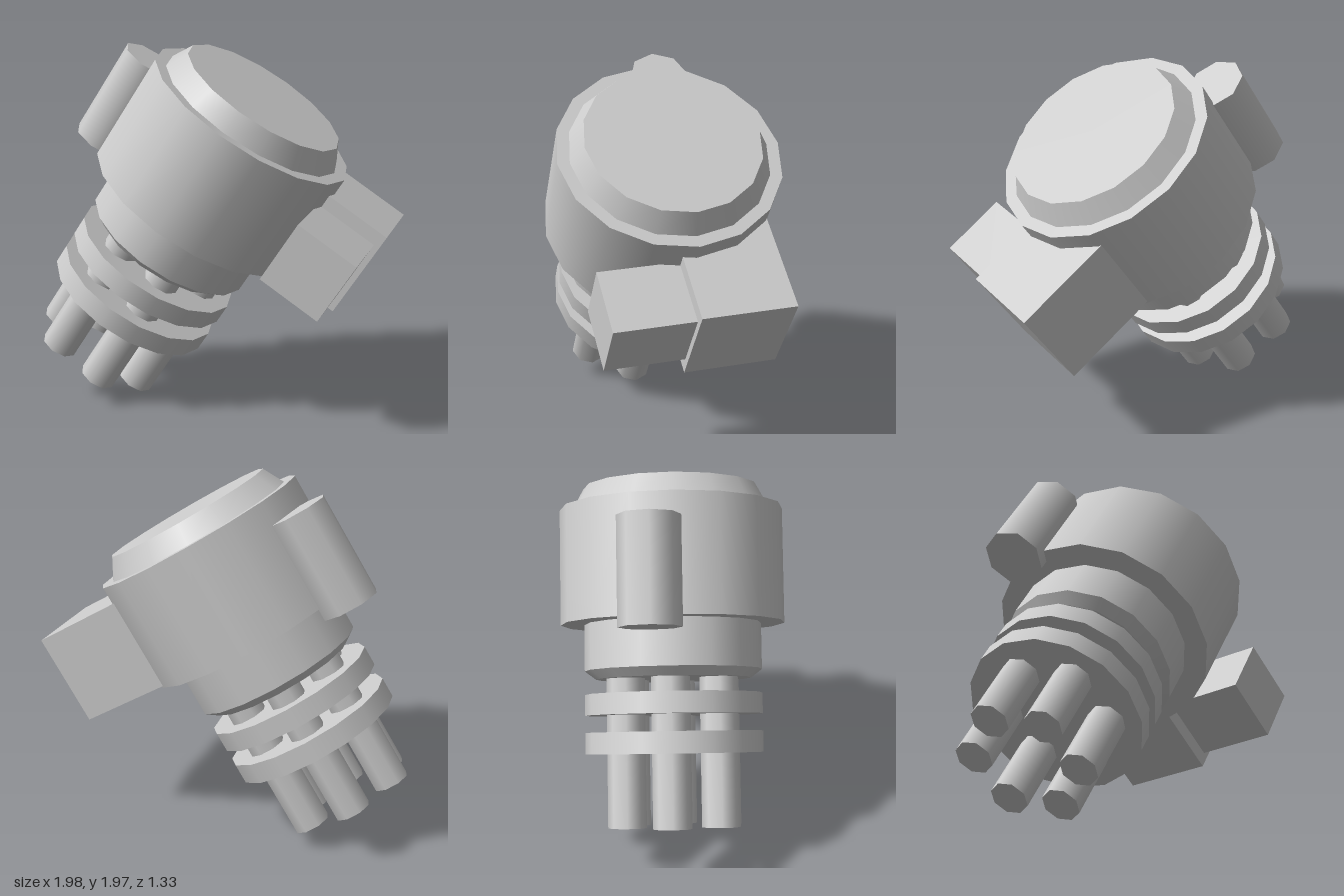
import * as THREE from 'three';

const material = new THREE.MeshStandardMaterial({ color: 0xcccccc });

export function createModel() {
  const model = new THREE.Group();
  model.name = 'rotaryGun';

  // Everything hangs below the centre of the end cap, along the local -y axis
  const body = new THREE.Group();
  body.name = 'tiltedBody';
  body.rotation.set(0, THREE.MathUtils.degToRad(18.4), THREE.MathUtils.degToRad(-33), 'YXZ');
  body.position.set(0.26, 1.715, -0.05);
  model.add(body);

  const add = (name, geometry, x, y, z) => {
    const mesh = new THREE.Mesh(geometry, material);
    mesh.name = name;
    mesh.position.set(x, y, z);
    body.add(mesh);
    return mesh;
  };
  // Cylinder or cone between two heights
  const drum = (name, top, bottom, rTop, rBottom = rTop, sides = 16, x = 0, z = 0) =>
    add(name, new THREE.CylinderGeometry(rTop, rBottom, top - bottom, sides), x, (top + bottom) / 2, z);
  // Box given by its minimum and maximum corners
  const block = (name, a, b) =>
    add(name, new THREE.BoxGeometry(b[0] - a[0], b[1] - a[1], b[2] - a[2]),
      (a[0] + b[0]) / 2, (a[1] + b[1]) / 2, (a[2] + b[2]) / 2);

  // Motor housing, end cap and neck
  drum('endCap', 0, -0.115, 0.467, 0.53);
  drum('housing', -0.115, -0.73, 0.595);
  drum('neck', -0.73, -0.975, 0.47);
  drum('neckBevel', -0.975, -1.02, 0.47, 0.41);

  // Barrel clamp plates
  drum('upperPlate', -1.10, -1.21, 0.47);
  drum('lowerPlate', -1.30, -1.412, 0.47);

  // Ring of six barrels
  for (let i = 0; i < 6; i++) {
    const angle = THREE.MathUtils.degToRad(5 + i * 60);
    drum('barrel', -1.0, -1.794, 0.1, 0.1, 8, 0.28 * Math.cos(angle), 0.28 * Math.sin(angle));
  }

  // Side motor and ammunition feed
  drum('sideMotor', -0.245, -0.797, 0.16, 0.16, 8, -0.645, -0.13);
  block('feedBox', [0.3, -0.72, -0.43], [0.95, -0.21, 0.07]);
  block('feedChute', [0.56, -0.64, 0.07], [0.918, -0.283, 0.5]);

  return model;
}
